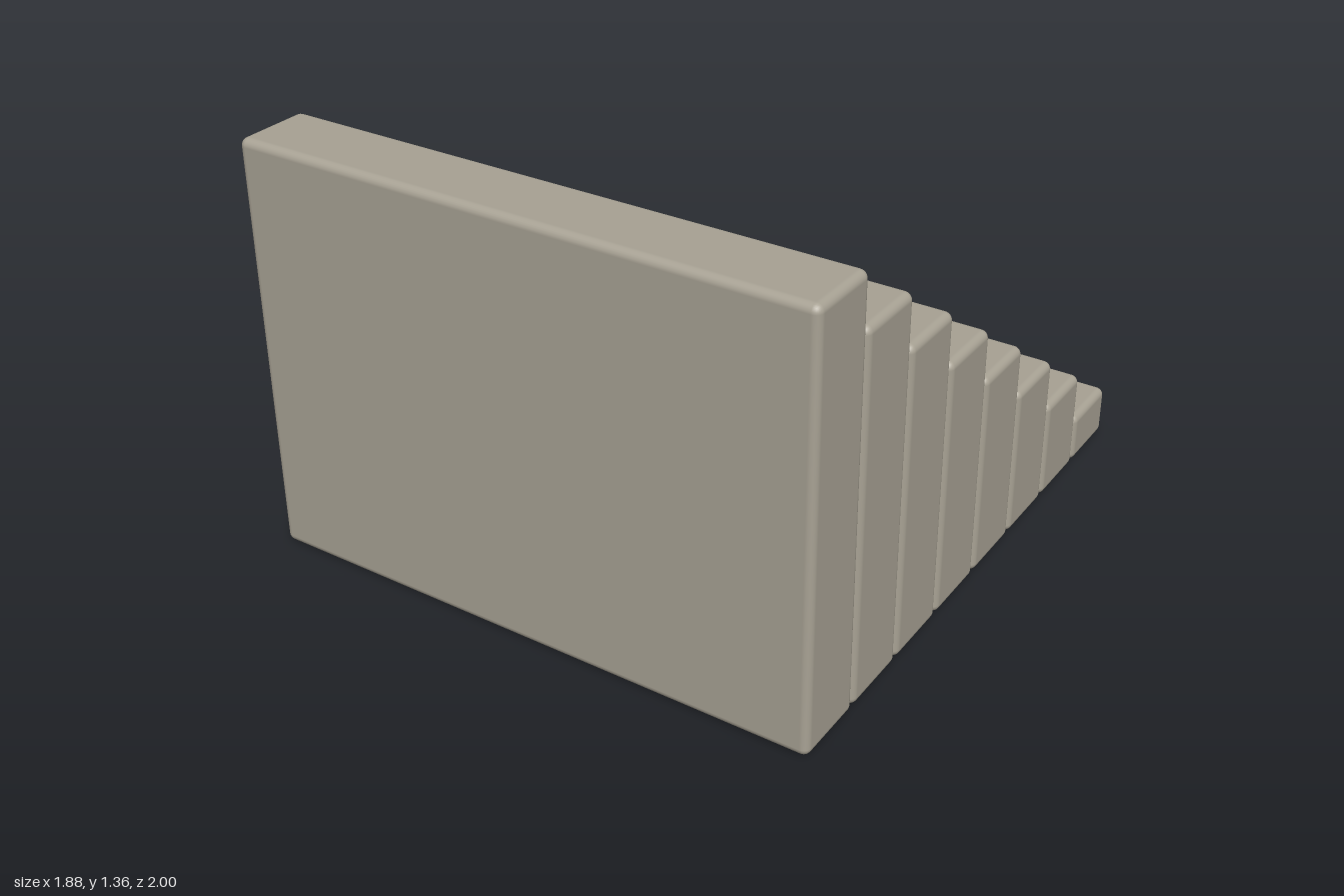
import * as THREE from 'three';
import { RoundedBoxGeometry } from 'three/addons/geometries/RoundedBoxGeometry.js';

const STEPS = 8;
const WIDTH = 1.885;
const RISE = 0.17;
const TREAD = 2 / STEPS;
const EDGE = 0.025;

export function createModel() {
  const group = new THREE.Group();
  group.name = 'staircase';
  const stone = new THREE.MeshStandardMaterial({ color: 0xa8a294 });

  // Full-height rounded blocks, lowest at the back, tallest at the front
  for (let i = 0; i < STEPS; i++) {
    const height = RISE * (i + 1);
    const step = new THREE.Mesh(new RoundedBoxGeometry(WIDTH, height, TREAD, 3, EDGE), stone);
    step.name = `step${i + 1}`;
    step.position.set(0, height / 2, -1 + TREAD * (i + 0.5));
    group.add(step);
  }
  return group;
}
